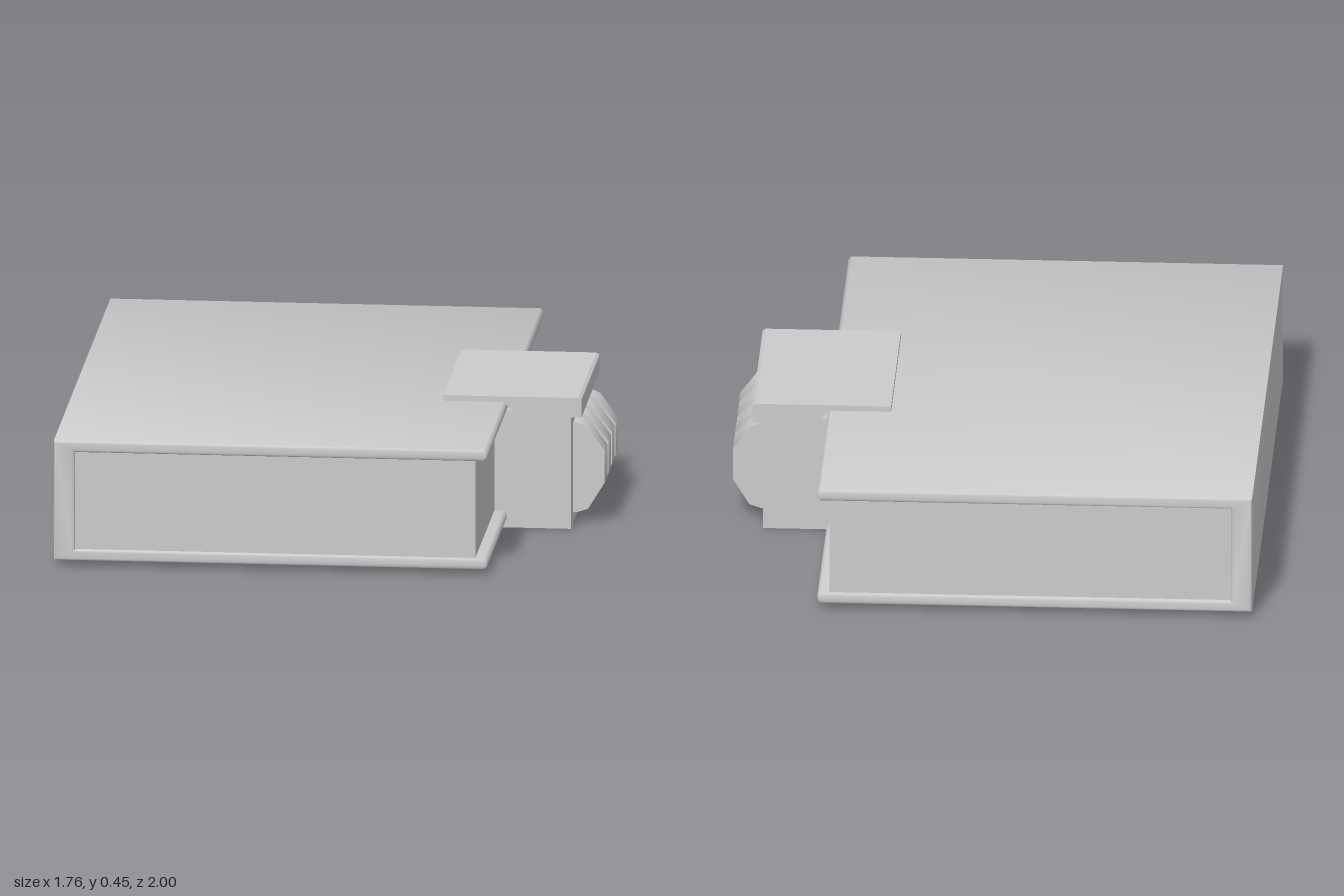
import * as THREE from 'three';
import { toCreasedNormals } from 'three/addons/utils/BufferGeometryUtils.js';

const material = new THREE.MeshStandardMaterial({ color: 0xcccccc });

// Extrudes an x/y outline along z, centred on z, with an optional small bevel inside the outline.
function extrudeProfile(name, points, width, z = 0, bevel = 0, crease = 0.6) {
  const shape = new THREE.Shape(points.map(([x, y]) => new THREE.Vector2(x, y)));
  const depth = width - 2 * bevel;
  const geometry = new THREE.ExtrudeGeometry(shape, {
    depth,
    bevelEnabled: bevel > 0,
    bevelSize: bevel,
    bevelOffset: -bevel,
    bevelThickness: bevel,
    bevelSegments: 2,
  });
  geometry.translate(0, 0, z - depth / 2);
  const mesh = new THREE.Mesh(toCreasedNormals(geometry, crease), material);
  mesh.name = name;
  return mesh;
}

export function createModel() {
  const book = new THREE.Group();
  book.name = 'claspedBook';

  // Cover boards and spine as one C-shaped section, free edges softened
  const c = 0.01;
  book.add(extrudeProfile('cover', [
    [-0.885, 0.02], [0.56 - c, 0.02], [0.56, 0.02 + c], [0.56, 0.057 - c], [0.56 - c, 0.057],
    [-0.815, 0.057], [-0.815, 0.39],
    [0.56 - c, 0.39], [0.56, 0.39 + c], [0.56, 0.428 - c], [0.56 - c, 0.428], [-0.885, 0.428],
  ], 2, 0, 0.008, 0.9));

  // Page block, set in slightly from the cover edges
  const pages = new THREE.Mesh(new THREE.BoxGeometry(1.35, 0.34, 1.97), material);
  pages.name = 'pages';
  pages.position.set(-0.155, 0.2235, 0);
  book.add(pages);

  // Clasp: body on the fore edge, lower plate and overlapping top flap
  const clasp = new THREE.Group();
  clasp.name = 'clasp';
  clasp.add(extrudeProfile('claspBody', [
    [0.35, 0], [0.775, 0], [0.775, 0.40], [0.515, 0.40], [0.515, 0.03], [0.35, 0.03],
  ], 0.64));
  clasp.add(extrudeProfile('claspFlap', [
    [0.35, 0.42], [0.56, 0.42], [0.60, 0.38], [0.81, 0.38], [0.81, 0.44], [0.80, 0.447], [0.35, 0.447],
  ], 0.64));

  // Four finger-like ridges on the clasp face
  for (let i = 0; i < 4; i++) {
    clasp.add(extrudeProfile('claspRidge', [
      [0.76, 0.035], [0.79, 0.038], [0.825, 0.05], [0.88, 0.14], [0.88, 0.25], [0.82, 0.33], [0.79, 0.343], [0.76, 0.345],
    ], 0.093, (i - 1.5) * 0.128, 0, 0.85));
  }
  book.add(clasp);
  return book;
}
